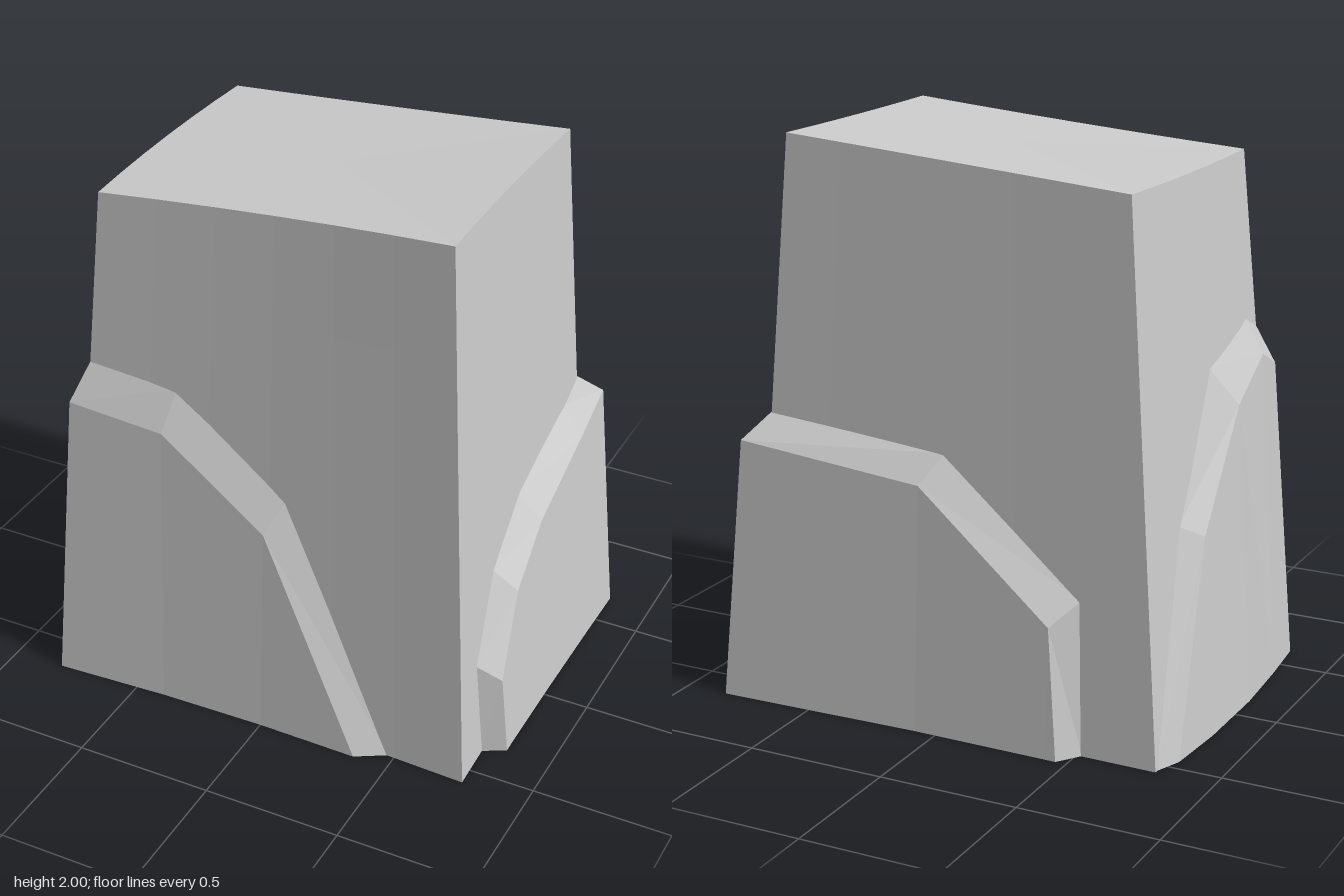
import * as THREE from 'three';

const material = new THREE.MeshStandardMaterial({ color: 0xcccccc, flatShading: true });

// Leaning walls: depth at the ground, lean per unit of height, hollow in the middle (negative bulges)
const CORE = {
  front: { axis: 'z', sign: 1, base: 0.57, lean: 0.052, hollow: 0.02 },
  back: { axis: 'z', sign: -1, base: 0.56, lean: 0.045, hollow: 0.005 },
  right: { axis: 'x', sign: 1, base: 0.765, lean: 0.065, hollow: 0.01 },
  left: { axis: 'x', sign: -1, base: 0.79, lean: 0.08, hollow: -0.015 },
};
const SLAB = {
  front: { axis: 'z', sign: 1, base: 0.64, lean: 0.06, hollow: 0.03 },
  back: { axis: 'z', sign: -1, base: 0.65, lean: 0.05, hollow: 0.02 },
  right: { axis: 'x', sign: 1, base: 0.84, lean: 0.075, hollow: 0.005 },
  left: { axis: 'x', sign: -1, base: 0.81, lean: 0.063, hollow: -0.04 },
};

// Point on a wall at sideways position u and height y
function onWall(w, u, y, inset = 0) {
  const half = w.axis === 'z' ? 0.79 - 0.07 * y : 0.6 - 0.05 * y;
  const s = Math.min(1, Math.abs(u) / half);
  const d = w.sign * (w.base - w.lean * y - w.hollow * (1 - s * s) - inset);
  return w.axis === 'z' ? [u, y, d] : [d, y, u];
}

function facets(name, triangles) {
  const geometry = new THREE.BufferGeometry();
  geometry.setAttribute('position', new THREE.Float32BufferAttribute(triangles.flat(2), 3));
  geometry.computeVertexNormals();
  const mesh = new THREE.Mesh(geometry, material);
  mesh.name = name;
  return mesh;
}

function quad(out, a, b, c, d, flip = false) {
  if (flip) out.push([a, c, b], [a, d, c]);
  else out.push([a, b, c], [a, c, d]);
}

// Tapered block with slightly uneven walls and a sloping top
function createCore() {
  const N = 6, ROWS = 5, rings = [];
  const edge = (w, y) => w.sign * (w.base - w.lean * y);
  const { front, back, right, left } = CORE;
  const loop = [[left, front], [right, front], [right, back], [left, back]];
  const sides = [front, right, back, left];
  for (let r = 0; r <= ROWS; r++) {
    const ring = [];
    for (let c = 0; c < 4; c++) {
      const [ax, az] = loop[c], [bx, bz] = loop[(c + 1) % 4], w = sides[c];
      for (let i = 0; i < N; i++) {
        const k = i / N, s = 2 * k - 1;
        const height = (x) => (r / ROWS) * (1.95 + 0.079 * x);
        const yA = height(ax.sign * 0.633), yB = height(bx.sign * 0.633);
        const y = yA + (yB - yA) * k;
        const p = [
          edge(ax, y) * (1 - k) + edge(bx, y) * k, y,
          edge(az, y) * (1 - k) + edge(bz, y) * k,
        ];
        p[w.axis === 'x' ? 0 : 2] -= w.sign * w.hollow * (1 - s * s);
        ring.push(p);
      }
    }
    rings.push(ring);
  }
  const out = [], n = 4 * N, top = rings[ROWS];
  for (let i = 0; i < n; i++) {
    const j = (i + 1) % n;
    for (let r = 0; r < ROWS; r++) quad(out, rings[r][i], rings[r][j], rings[r + 1][j], rings[r + 1][i]);
    out.push([top[i], top[j], [0, 1.945, 0]], [rings[0][j], rings[0][i], [0, 0, 0]]);
  }
  return facets('stoneBlock', out);
}

// Raised layer on one wall: outer skin, bevelled rim and underside
function addSlab(out, side, inner, outer) {
  const flip = CORE[side].axis === 'x';
  const rim = inner.map(([u, y]) => onWall(CORE[side], u, y, 0.004));
  const face = outer.map(([u, y]) => onWall(SLAB[side], u, y));
  const last = outer.length - 1, end = outer[last][0];
  const cornerU = SLAB[flip ? (outer[0][0] > 0 ? 'front' : 'back') : (outer[0][0] > 0 ? 'right' : 'left')];
  const foot = outer.map(([u], i) => {
    const f = i === 0 ? cornerU.sign * cornerU.base : u;
    const clamped = end > outer[0][0] ? Math.min(f, end) : Math.max(f, end);
    return onWall(SLAB[side], clamped, 0);
  });
  for (let i = 0; i < last; i++) {
    quad(out, foot[i], foot[i + 1], face[i + 1], face[i], flip);
    quad(out, face[i], face[i + 1], rim[i + 1], rim[i], flip);
  }
  const under = [...foot, rim[last]];
  for (let i = 0; i <= last; i++) {
    const pair = flip ? [under[i], under[i + 1]] : [under[i + 1], under[i]];
    out.push([...pair, [0, 0, 0]]);
  }
}

export function createModel() {
  const group = new THREE.Group();
  group.name = 'steppedStone';
  group.add(createCore());

  // Layer wrapping the front corner on the -x side
  const frontLayer = [];
  addSlab(frontLayer, 'front',
    [[-0.685, 1.27], [-0.36, 1.23], [0.06, 0.91], [0.48, 0]],
    [[-0.74, 1.12], [-0.39, 1.08], [0, 0.79], [0.37, 0]]);
  addSlab(frontLayer, 'left',
    [[0.505, 1.27], [0.4, 1.32], [0.03, 1.23], [-0.28, 0.76], [-0.55, 0]],
    [[0.573, 1.12], [0.42, 1.19], [0.13, 1.08], [-0.2, 0.71], [-0.45, 0]]);
  group.add(facets('frontCornerLayer', frontLayer));

  // Layer wrapping the back corner on the +x side
  const backLayer = [];
  addSlab(backLayer, 'back',
    [[0.698, 1.03], [0.02, 0.97], [-0.5, 0.54], [-0.52, 0]],
    [[0.77, 0.94], [0.08, 0.87], [-0.42, 0.46], [-0.46, 0]]);
  addSlab(backLayer, 'right',
    [[-0.514, 1.03], [-0.4, 0.97], [0, 0.84], [0.24, 0.67], [0.41, 0.38], [0.39, 0]],
    [[-0.603, 0.94], [-0.4, 0.86], [-0.02, 0.73], [0.2, 0.58], [0.36, 0.31], [0.345, 0]]);
  group.add(facets('backCornerLayer', backLayer));
  return group;
}
